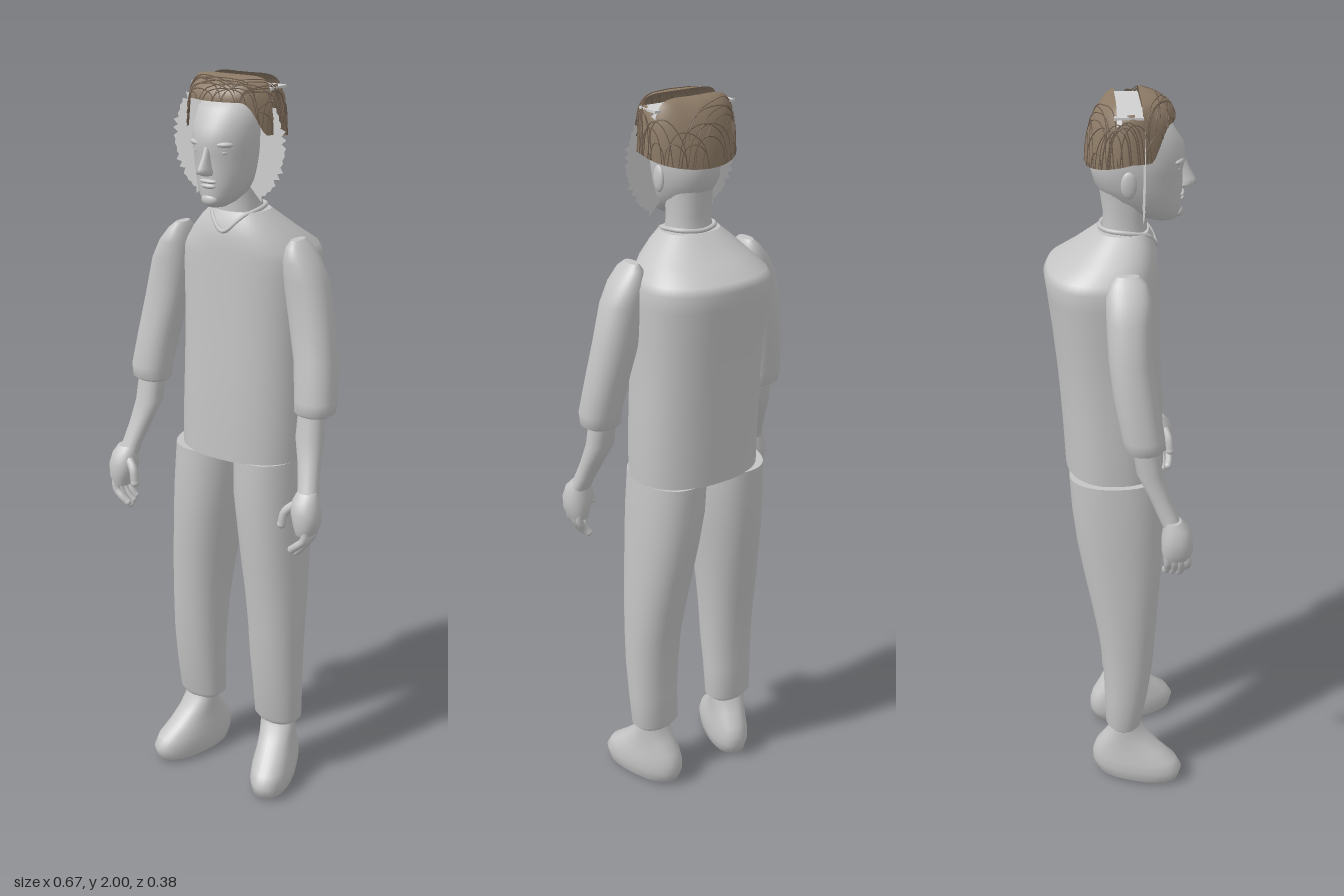
import * as THREE from 'three';

const clay = new THREE.MeshStandardMaterial({ color: 0xc4c4c4 });
clay.name = 'clay grey';
const pale = new THREE.MeshStandardMaterial({ color: 0xd0d0d0, side: THREE.DoubleSide });
pale.name = 'pale grey';
const hairBrown = new THREE.MeshStandardMaterial({ color: 0x8c7a66, side: THREE.DoubleSide });
hairBrown.name = 'hair brown';
const strandBrown = new THREE.MeshStandardMaterial({ color: 0x705f50 });
strandBrown.name = 'dark strand brown';

// Closed skin over horizontal rings, listed bottom to top: [y, xMin, xMax, zBack, zFront]
function loft(rings, power = 2.2, sides = 32) {
  const flat = (r) => [r[0], (r[1] + r[2]) / 2, (r[1] + r[2]) / 2, (r[3] + r[4]) / 2, (r[3] + r[4]) / 2];
  const first = rings[0], last = rings[rings.length - 1];
  const all = [flat(first), first, ...rings, last, flat(last)];
  const pos = [], index = [];
  const bend = (v) => Math.sign(v) * Math.abs(v) ** (2 / power);
  for (const [y, x0, x1, z0, z1] of all) {
    for (let j = 0; j < sides; j++) {
      const a = (j / sides) * Math.PI * 2;
      pos.push((x0 + x1) / 2 + ((x1 - x0) / 2) * bend(Math.cos(a)), y,
        (z0 + z1) / 2 + ((z1 - z0) / 2) * bend(Math.sin(a)));
    }
  }
  for (let i = 0; i < all.length - 1; i++) {
    if (i === 1 || i === all.length - 3) continue; // doubled rings keep the ends crisp
    for (let j = 0; j < sides; j++) {
      const k = (j + 1) % sides, p = i * sides, q = p + sides;
      index.push(p + j, q + j, p + k, q + j, q + k, p + k);
    }
  }
  const g = new THREE.BufferGeometry();
  g.setAttribute('position', new THREE.Float32BufferAttribute(pos, 3));
  g.setIndex(index);
  g.computeVertexNormals();
  return g;
}

function add(parent, name, geometry, material = clay) {
  const m = new THREE.Mesh(geometry, material);
  m.name = name;
  parent.add(m);
  return m;
}

function blob(parent, name, p, s) {
  const m = add(parent, name, new THREE.SphereGeometry(1, 16, 12));
  m.position.set(...p);
  m.scale.set(...s);
  return m;
}

// Limb rings given for the left side and swapped over for the right
const sided = (rings, s, cx) => rings.map(([y, a, b, z0, z1]) =>
  s > 0 ? [y, cx + a, cx + b, z0, z1] : [y, cx - b, cx - a, z0, z1]);

function finger(parent, name, points, radius) {
  const v = points.map((p) => new THREE.Vector3(...p));
  add(parent, name, new THREE.TubeGeometry(new THREE.CatmullRomCurve3(v), 8, radius, 8));
  blob(parent, name + 'Tip', points[points.length - 1], [radius, radius, radius]);
}

function buildLimbs(root, s) {
  const side = s > 0 ? 'left' : 'right';
  const group = new THREE.Group();
  group.name = side + 'Limbs';
  root.add(group);

  // Trouser leg
  add(group, side + 'TrouserLeg', loft(sided([
    [0.185, 0.075, 0.185, -0.035, 0.05], [0.2, 0.06, 0.2, -0.045, 0.058],
    [0.3, 0.06, 0.203, -0.048, 0.075], [0.4, 0.055, 0.205, -0.052, 0.088],
    [0.5, 0.05, 0.205, -0.064, 0.095], [0.6, 0.04, 0.204, -0.082, 0.102],
    [0.7, 0.028, 0.2, -0.102, 0.11], [0.8, 0.015, 0.197, -0.12, 0.115],
    [0.9, 0.002, 0.193, -0.132, 0.117], [1.002, 0, 0.187, -0.138, 0.113]], s, 0.008)));

  // Shoe, toe turned out
  const shoe = add(group, side + 'Shoe', loft([
    [0, -0.042, 0.042, -0.05, 0.14], [0.012, -0.055, 0.055, -0.08, 0.163],
    [0.045, -0.06, 0.06, -0.093, 0.172], [0.075, -0.058, 0.058, -0.093, 0.155],
    [0.105, -0.053, 0.053, -0.083, 0.115], [0.14, -0.05, 0.05, -0.058, 0.075],
    [0.175, -0.05, 0.05, -0.036, 0.044], [0.2, -0.048, 0.048, -0.03, 0.036]], 2.3));
  shoe.position.set(0.008 + s * 0.133, 0, 0.008);
  shoe.rotation.y = s * 0.3;

  // Sleeve and forearm
  add(group, side + 'Sleeve', loft(sided([
    [1.16, 0.212, 0.3, 0.01, 0.09], [1.168, 0.205, 0.312, 0, 0.1],
    [1.2, 0.205, 0.315, -0.006, 0.102], [1.3, 0.19, 0.302, -0.026, 0.085],
    [1.4, 0.165, 0.285, -0.038, 0.072], [1.5, 0.148, 0.262, -0.042, 0.07],
    [1.55, 0.147, 0.235, -0.042, 0.07], [1.585, 0.155, 0.207, -0.03, 0.058],
    [1.6, 0.165, 0.19, -0.015, 0.04]], s, 0.007)));
  add(group, side + 'Forearm', loft(sided([
    [0.95, 0.262, 0.32, 0.1, 0.15], [0.99, 0.255, 0.31, 0.082, 0.135],
    [1.04, 0.24, 0.302, 0.06, 0.115], [1.1, 0.22, 0.295, 0.03, 0.098],
    [1.18, 0.22, 0.29, 0.018, 0.085]], s, 0.003)));

  // Hand with curled fingers
  add(group, side + 'Palm', loft(sided([
    [0.865, 0.272, 0.322, 0.1, 0.168], [0.89, 0.265, 0.333, 0.094, 0.176],
    [0.925, 0.255, 0.335, 0.094, 0.174], [0.955, 0.258, 0.327, 0.098, 0.165],
    [0.975, 0.265, 0.317, 0.1, 0.145]], s, 0)));
  for (let i = 0; i < 4; i++) {
    const z = 0.108 + i * 0.017, end = 0.832 - (i % 3) * 0.006;
    finger(group, side + 'Finger', [[s * 0.308, 0.885, z], [s * 0.304, 0.852, z + 0.003],
      [s * (0.29 - i * 0.002), end, z + 0.004], [s * (0.28 - i * 0.004), end - 0.014, z]], 0.0105);
  }
  finger(group, side + 'Thumb', [[s * 0.272, 0.945, 0.145], [s * 0.246, 0.92, 0.158],
    [s * 0.238, 0.885, 0.162]], 0.012);
}

function buildHead(root) {
  const head = new THREE.Group();
  head.name = 'head';
  head.position.x = 0.01;
  root.add(head);
  add(head, 'neck', loft([[1.57, -0.075, 0.075, -0.06, 0.08], [1.64, -0.06, 0.06, -0.045, 0.072],
    [1.7, -0.056, 0.056, -0.04, 0.07], [1.77, -0.06, 0.06, -0.05, 0.08]]));
  add(head, 'skull', loft([
    [1.683, -0.022, 0.022, 0.08, 0.142], [1.692, -0.036, 0.036, 0.05, 0.153],
    [1.715, -0.055, 0.055, 0.005, 0.157], [1.745, -0.07, 0.07, -0.035, 0.157],
    [1.78, -0.08, 0.08, -0.062, 0.158], [1.815, -0.086, 0.086, -0.071, 0.158],
    [1.84, -0.088, 0.088, -0.071, 0.165], [1.88, -0.088, 0.088, -0.066, 0.158],
    [1.92, -0.083, 0.083, -0.055, 0.132], [1.945, -0.065, 0.065, -0.035, 0.1],
    [1.958, -0.03, 0.03, -0.01, 0.06]], 2.1));
  // Nose, lips and chin
  add(head, 'nose', loft([[1.765, -0.013, 0.013, 0.14, 0.172], [1.772, -0.019, 0.019, 0.14, 0.193],
    [1.785, -0.014, 0.014, 0.14, 0.191], [1.81, -0.009, 0.009, 0.14, 0.176],
    [1.835, -0.008, 0.008, 0.14, 0.165]], 2, 16));
  blob(head, 'upperLip', [0, 1.75, 0.154], [0.026, 0.006, 0.01]);
  blob(head, 'lowerLip', [0, 1.738, 0.153], [0.022, 0.007, 0.01]);
  blob(head, 'chin', [0, 1.703, 0.147], [0.024, 0.016, 0.014]);
  for (const s of [-1, 1]) {
    blob(head, 'brow', [s * 0.036, 1.841, 0.142], [0.027, 0.009, 0.015]).rotation.y = s * 0.35;
    blob(head, 'eye', [s * 0.034, 1.821, 0.14], [0.015, 0.006, 0.01]);
    blob(head, 'ear', [s * 0.085, 1.795, 0.02], [0.009, 0.034, 0.02]);
    // Ragged flat lobe standing out beside the face
    const lobe = new THREE.Shape();
    lobe.moveTo(s * 0.06, -0.1);
    for (let i = 0; i <= 28; i++) {
      const a = -0.96 + (i / 28) * 1.68, r = 0.172 - (i % 2) * 0.009 - ((i * 7) % 5) * 0.002;
      lobe.lineTo(s * r * Math.cos(a), r * Math.sin(a));
    }
    lobe.lineTo(s * 0.06, 0.1);
    add(head, 'raggedLobe', new THREE.ShapeGeometry(lobe), pale).position.set(-0.006, 1.83, 0.055);
  }
  buildHair(head);
}

function buildHair(head) {
  const rx = 0.13, rz = 0.11, cz = 0.026, top = 1.996;
  // Height of the cap over a point: boxy at the sides, hairline high in front and low behind
  const capPoint = (x, z, lift = 0) => {
    const q = Math.min(1, Math.hypot(x / rx, z / rz));
    const s = q > 0.001 ? z / rz / q : 0;
    const edge = s > 0 ? 1.86 + 0.08 * THREE.MathUtils.smoothstep(s, 0.4, 0.85) : 1.86 + 0.03 * s;
    const y = edge + (top - edge) * Math.sqrt(Math.max(0, 1 - q ** (3.2 + 7 * (1 - s * s) ** 2)));
    return new THREE.Vector3(x * (1 + lift * 8), y + lift, cz + z * (1 + lift * 8));
  };
  // Open slot across the crown
  const inSlot = (x, z) => Math.abs(x) < 0.115 && z > -0.012 && z < 0.048;
  const cap = new THREE.PlaneGeometry(2, 2, 56, 56);
  cap.rotateX(-Math.PI / 2);
  const p = cap.attributes.position;
  for (let i = 0; i < p.count; i++) {
    const z = Math.sin((p.getZ(i) * Math.PI) / 2);
    const x = Math.sin((p.getX(i) * Math.PI) / 2) * Math.sqrt(1 - z * z);
    const v = capPoint(x * rx, z * rz);
    p.setXYZ(i, v.x, v.y, v.z);
  }
  cap.computeVertexNormals();
  const kept = [], faces = cap.index.array;
  for (let i = 0; i < faces.length; i += 6) {
    const quad = Array.from(faces.slice(i, i + 6));
    const x = quad.reduce((t, n) => t + p.getX(n) / 6, 0);
    const z = quad.reduce((t, n) => t + p.getZ(n) / 6, 0);
    if (!inSlot(x, z)) kept.push(...quad);
  }
  cap.setIndex(kept);
  add(head, 'hairCap', cap, hairBrown);

  // Bare scalp seen through the slot
  const scalp = add(head, 'scalp', new THREE.BoxGeometry(0.236, 0.006, 0.07), pale);
  scalp.position.set(0, 1.968, 0.018);

  // Crossing strands
  let seed = 11;
  const rand = () => (seed = (seed * 16807) % 2147483647) / 2147483647;
  const strands = new THREE.Group();
  strands.name = 'hairStrands';
  head.add(strands);
  for (let i = 0; i < 70; i++) {
    const a = rand() * Math.PI * 2, c = a + 0.3 + rand() * 1.6, pts = [];
    for (let k = 0; k <= 10; k++) {
      const t = k / 10;
      pts.push(capPoint(rx * (Math.cos(a) * (1 - t) + Math.cos(c) * t),
        rz * (Math.sin(a) * (1 - t) + Math.sin(c) * t), 0.001));
    }
    if (pts.some((v) => inSlot(v.x, v.z))) continue;
    add(strands, 'strand', new THREE.TubeGeometry(new THREE.CatmullRomCurve3(pts), 20, 0.0014, 4), strandBrown);
  }
}

export function createModel() {
  const root = new THREE.Group();
  root.name = 'standingFigure';
  // Loose shirt with sloping shoulders
  add(root, 'shirt', loft([
    [1, -0.162, 0.196, -0.145, 0.12], [1.1, -0.162, 0.197, -0.15, 0.118],
    [1.2, -0.16, 0.195, -0.156, 0.115], [1.3, -0.16, 0.193, -0.164, 0.11],
    [1.4, -0.163, 0.193, -0.174, 0.105], [1.5, -0.168, 0.196, -0.186, 0.102],
    [1.545, -0.168, 0.196, -0.192, 0.1], [1.565, -0.158, 0.186, -0.182, 0.099],
    [1.6, -0.128, 0.155, -0.128, 0.097], [1.635, -0.095, 0.118, -0.085, 0.088],
    [1.66, -0.068, 0.09, -0.055, 0.075]], 2.4, 48));
  // Collar dipping to a point in front
  const neckline = [[0, 1.665, -0.048], [0.05, 1.668, -0.03], [0.066, 1.665, 0.02], [0.045, 1.65, 0.072],
    [0, 1.612, 0.094], [-0.045, 1.65, 0.072], [-0.066, 1.665, 0.02], [-0.05, 1.668, -0.03]];
  const loop = new THREE.CatmullRomCurve3(neckline.map(([x, y, z]) => new THREE.Vector3(x + 0.011, y, z)), true);
  add(root, 'collar', new THREE.TubeGeometry(loop, 48, 0.006, 8, true));
  for (const s of [-1, 1]) buildLimbs(root, s);
  buildHead(root);
  return root;
}
